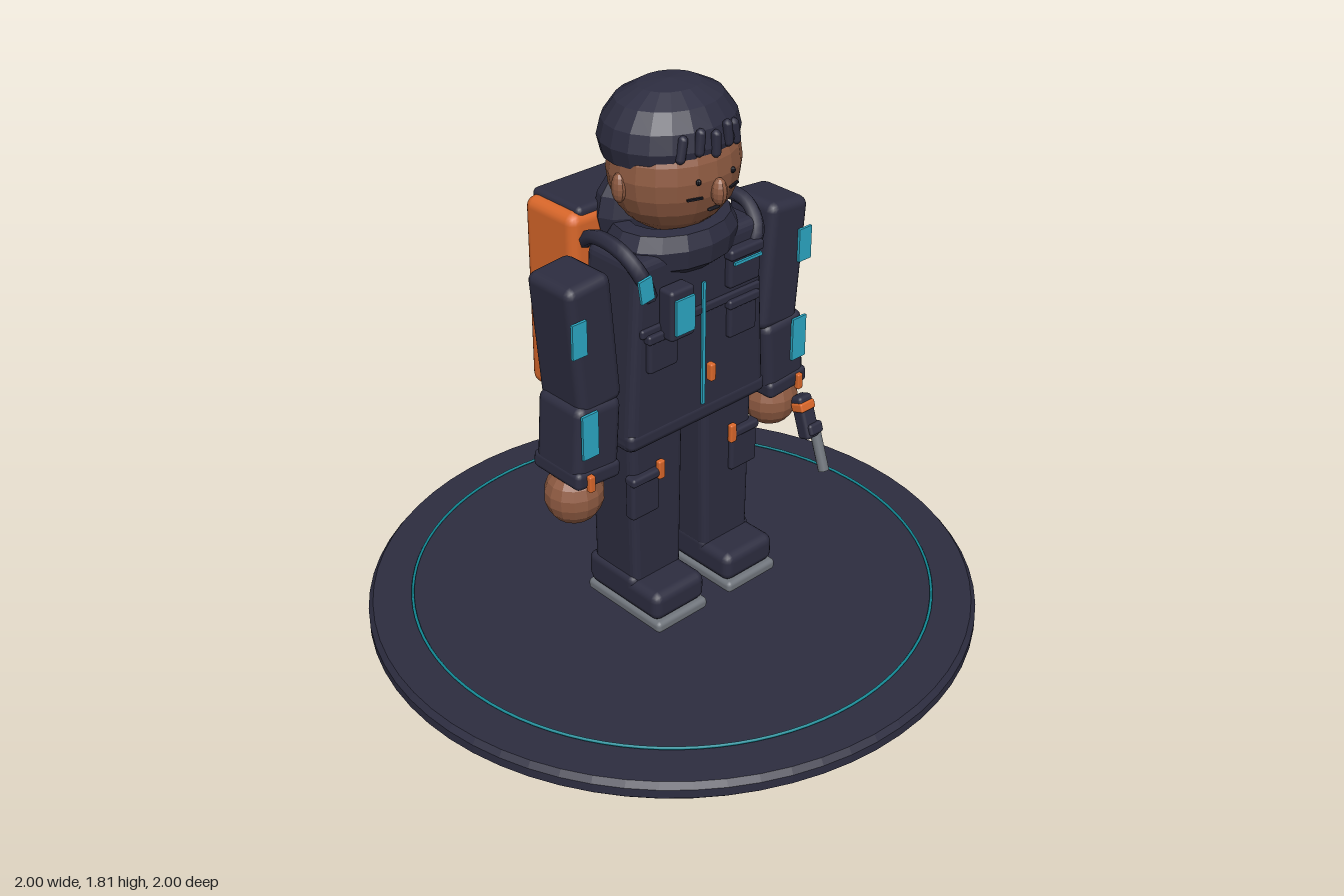
import * as THREE from 'three';
import { RoundedBoxGeometry } from 'three/addons/geometries/RoundedBoxGeometry.js';

const mat = (name, color) => {
  const m = new THREE.MeshStandardMaterial({ color });
  m.name = name;
  return m;
};

export function createModel() {
  const navy = mat('navy cloth', 0x2d2d40);
  const orange = mat('orange', 0xd9672a);
  const skin = mat('skin', 0x8f5b42);
  const teal = mat('teal', 0x2ba8c4);
  const ringTeal = mat('ring teal', 0x128a96);
  const grey = mat('grey', 0x70757c);
  const black = mat('black', 0x181820);

  const root = new THREE.Group();
  root.name = 'figure';

  const add = (name, geo, m, x = 0, y = 0, z = 0, parent = root) => {
    const mesh = new THREE.Mesh(geo, m);
    mesh.name = name;
    mesh.position.set(x, y, z);
    parent.add(mesh);
    return mesh;
  };
  // softly bevelled block given by centre and size
  const block = (name, m, x, y, z, w, h, d, r = 0.02, parent = root) =>
    add(name, new RoundedBoxGeometry(w, h, d, 2, Math.min(r, w / 2.1, h / 2.1, d / 2.1)), m, x, y, z, parent);
  const plate = (name, m, x, y, z, w, h, d = 0.008, parent = root) =>
    add(name, new THREE.BoxGeometry(w, h, d), m, x, y, z, parent);
  const facet = (geo) => {
    const g = geo.toNonIndexed();
    g.computeVertexNormals();
    return g;
  };
  const ball = (name, m, x, y, z, rx, ry, rz, ws = 16, hs = 10, parent = root) =>
    add(name, facet(new THREE.SphereGeometry(1, ws, hs).scale(rx, ry, rz)), m, x, y, z, parent);
  const lathe = (points, segments) =>
    facet(new THREE.LatheGeometry(points.map(([r, y]) => new THREE.Vector2(r, y)), segments));
  // change the width of a geometry linearly from bottom to top
  const taper = (geo, bottom, top) => {
    geo.computeBoundingBox();
    const { min, max } = geo.boundingBox;
    const p = geo.attributes.position;
    for (let i = 0; i < p.count; i++) {
      const t = (p.getY(i) - min.y) / (max.y - min.y);
      p.setX(i, p.getX(i) * (bottom + (top - bottom) * t));
    }
    geo.computeVertexNormals();
    return geo;
  };

  // display base and its glowing ring
  add('base', lathe([[0, 0], [0.985, 0], [1, 0.015], [1, 0.045], [0.985, 0.064], [0, 0.064]], 64), navy);
  add('baseRing', new THREE.TorusGeometry(0.855, 0.005, 6, 96).rotateX(Math.PI / 2), ringTeal, 0, 0.073, 0);

  // legs, boots and cargo pockets
  for (const s of [-1, 1]) {
    const leg = new THREE.Group();
    leg.name = s > 0 ? 'leftLeg' : 'rightLeg';
    root.add(leg);
    add('trouserLeg', taper(new RoundedBoxGeometry(0.22, 0.56, 0.2, 2, 0.025), 0.91, 1), navy, s * 0.15, 0.47, 0, leg);
    block('sole', grey, s * 0.155, 0.1, 0.05, 0.215, 0.04, 0.345, 0.015, leg);
    block('bootToe', navy, s * 0.155, 0.165, 0.047, 0.215, 0.1, 0.33, 0.03, leg);
    block('bootAnkle', navy, s * 0.155, 0.18, -0.01, 0.215, 0.1, 0.22, 0.025, leg);
    block('cargoPocket', navy, s * 0.212, 0.535, 0.095, 0.115, 0.15, 0.04, 0.012, leg);
    block('cargoFlap', navy, s * 0.212, 0.6, 0.1, 0.12, 0.03, 0.045, 0.01, leg);
    block('cargoTab', orange, s * 0.155, 0.608, 0.115, 0.026, 0.065, 0.02, 0.006, leg);
  }

  // jacket
  add('jacket', taper(new RoundedBoxGeometry(0.58, 0.63, 0.23, 2, 0.03), 1, 0.87), navy, 0, 1.025, 0.012);
  block('jacketHem', navy, 0, 0.75, 0.012, 0.575, 0.06, 0.235, 0.02);
  block('chestBand', navy, 0, 1.115, 0.125, 0.49, 0.03, 0.025, 0.008);
  plate('zipper', teal, 0, 1.0, 0.139, 0.012, 0.42);
  block('zipperPull', orange, 0.024, 0.9, 0.15, 0.022, 0.06, 0.025, 0.006);
  for (const s of [-1, 1]) {
    block('chestPocket', navy, s * 0.165, 1.04, 0.13, 0.115, 0.125, 0.03, 0.01);
    block('pocketFlap', navy, s * 0.165, 1.095, 0.137, 0.13, 0.03, 0.03, 0.008);
  }
  block('namePocket', navy, 0.165, 1.21, 0.13, 0.13, 0.12, 0.04, 0.012);
  block('namePocketFlap', navy, 0.165, 1.265, 0.14, 0.14, 0.035, 0.04, 0.01);
  plate('pocketStripe', teal, 0.165, 1.238, 0.158, 0.115, 0.01);
  block('radio', navy, -0.125, 1.165, 0.155, 0.095, 0.165, 0.06, 0.012);
  plate('radioScreen', teal, -0.123, 1.162, 0.189, 0.074, 0.115);

  // collar and folded hood
  add('collar', lathe([[0.17, -0.07], [0.215, -0.04], [0.225, 0.02], [0.2, 0.065], [0.15, 0.07], [0.1, 0.0]], 16)
    .scale(0.97, 1, 0.78), navy, 0, 1.325, 0);
  ball('hood', navy, 0, 1.4, -0.105, 0.2, 0.165, 0.1, 14, 8);

  // head
  const head = new THREE.Group();
  head.name = 'head';
  root.add(head);
  ball('face', skin, 0, 1.56, 0.01, 0.215, 0.205, 0.183, 20, 12, head);
  ball('nose', skin, 0, 1.522, 0.198, 0.024, 0.043, 0.026, 10, 8, head);
  block('mouth', black, 0, 1.463, 0.176, 0.042, 0.008, 0.012, 0.003, head);
  for (const s of [-1, 1]) {
    ball('ear', skin, s * 0.212, 1.535, 0.005, 0.02, 0.046, 0.026, 10, 8, head);
    ball('eye', black, s * 0.068, 1.565, 0.184, 0.009, 0.01, 0.008, 8, 6, head);
    const line = plate('cheekLine', black, s * 0.078, 1.515, 0.18, 0.05, 0.006, 0.008, head);
    line.rotation.y = s * 0.33;
  }
  // cap and short locks at the brow
  add('cap', lathe([[0, -0.03], [0.17, -0.02], [0.213, -0.002], [0.226, 0.05], [0.212, 0.105], [0.17, 0.16], [0.1, 0.195], [0, 0.206]], 20)
    .scale(1, 1, 0.86), navy, 0, 1.603, -0.012, head);
  [-0.105, -0.055, 0, 0.055, 0.105].forEach((x, i) => {
    const lock = add('hairLock', new THREE.CapsuleGeometry(0.015, 0.055, 3, 8), navy,
      x, 1.665 + (i % 2) * 0.015, 0.183 - x * x * 2.8, head);
    lock.rotation.z = x * 1.8;
  });

  // arms
  for (const s of [-1, 1]) {
    const arm = new THREE.Group();
    arm.name = s > 0 ? 'leftArm' : 'rightArm';
    root.add(arm);
    block('upperArm', navy, s * 0.39, 1.12, 0.005, 0.165, 0.43, 0.2, 0.03, arm).rotation.z = -s * 0.09;
    block('forearm', navy, s * 0.395, 0.81, 0.015, 0.172, 0.25, 0.2, 0.03, arm).rotation.z = s * 0.07;
    block('cuff', navy, s * 0.405, 0.695, 0.015, 0.172, 0.06, 0.215, 0.018, arm).rotation.z = s * 0.07;
    ball('hand', skin, s * 0.423, 0.6, 0.02, 0.095, 0.1, 0.092, 14, 9, arm);
    plate('upperPatch', teal, s * 0.463, 1.175, 0.112, 0.054, 0.112, 0.009, arm);
    plate('lowerPatch', teal, s * 0.44, 0.852, 0.122, 0.06, 0.148, 0.009, arm);
    block('cuffTab', orange, s * 0.445, 0.69, 0.127, 0.022, 0.055, 0.02, 0.005, arm);
  }

  // hand tool, leaning forward at the lower end
  const tool = new THREE.Group();
  tool.name = 'handTool';
  tool.position.set(0.47, 0.55, 0.145);
  tool.rotation.x = -0.33;
  root.add(tool);
  block('toolGrip', navy, -0.005, 0.005, 0, 0.06, 0.15, 0.05, 0.012, tool);
  block('toolBand', orange, -0.01, 0.045, 0.008, 0.065, 0.03, 0.05, 0.006, tool);
  block('toolCap', navy, 0.005, -0.04, 0.01, 0.06, 0.04, 0.05, 0.01, tool);
  add('toolShaft', new THREE.CylinderGeometry(0.019, 0.019, 0.16, 10), grey, 0.025, -0.12, 0, tool);

  // backpack
  const pack = new THREE.Group();
  pack.name = 'backpack';
  root.add(pack);
  block('packBody', orange, 0, 1.105, -0.225, 0.59, 0.64, 0.23, 0.035, pack);
  block('packLid', navy, 0, 1.42, -0.23, 0.52, 0.04, 0.22, 0.018, pack);
  block('packBottom', navy, 0, 0.79, -0.225, 0.52, 0.04, 0.21, 0.018, pack);
  block('backPanel', orange, 0, 1.12, -0.342, 0.48, 0.55, 0.028, 0.01, pack);
  block('sidePocket', orange, 0.31, 1.042, -0.223, 0.08, 0.185, 0.155, 0.02, pack);
  block('topBar', navy, 0, 1.305, -0.36, 0.43, 0.024, 0.016, 0.006, pack);
  plate('panelSeam', navy, 0, 0.985, -0.355, 0.44, 0.006, 0.006, pack);
  for (const s of [-1, 1]) {
    block('barEnd', navy, s * 0.2, 1.305, -0.362, 0.03, 0.035, 0.022, 0.006, pack);
    block('buckle', navy, s * 0.18, 1.14, -0.363, 0.055, 0.045, 0.025, 0.006, pack);
    plate('buckleLight', teal, s * 0.18, 1.14, -0.377, 0.022, 0.02, 0.006, pack);
    block('lowerStrap', navy, s * 0.17, 0.91, -0.357, 0.035, 0.13, 0.014, 0.005, pack);
    // shoulder strap running over the shoulder to the chest
    const path = new THREE.CatmullRomCurve3([
      new THREE.Vector3(s * 0.2, 1.22, 0.12), new THREE.Vector3(s * 0.235, 1.3, 0.125),
      new THREE.Vector3(s * 0.255, 1.365, 0.06), new THREE.Vector3(s * 0.25, 1.37, -0.06),
      new THREE.Vector3(s * 0.24, 1.32, -0.14)]);
    add('shoulderStrap', new THREE.TubeGeometry(path, 20, 0.024, 6), navy, 0, 0, 0, pack);
  }
  const strapLight = plate('strapLight', teal, -0.242, 1.272, 0.152, 0.05, 0.075, 0.009, pack);
  strapLight.rotation.z = 0.15;

  return root;
}
